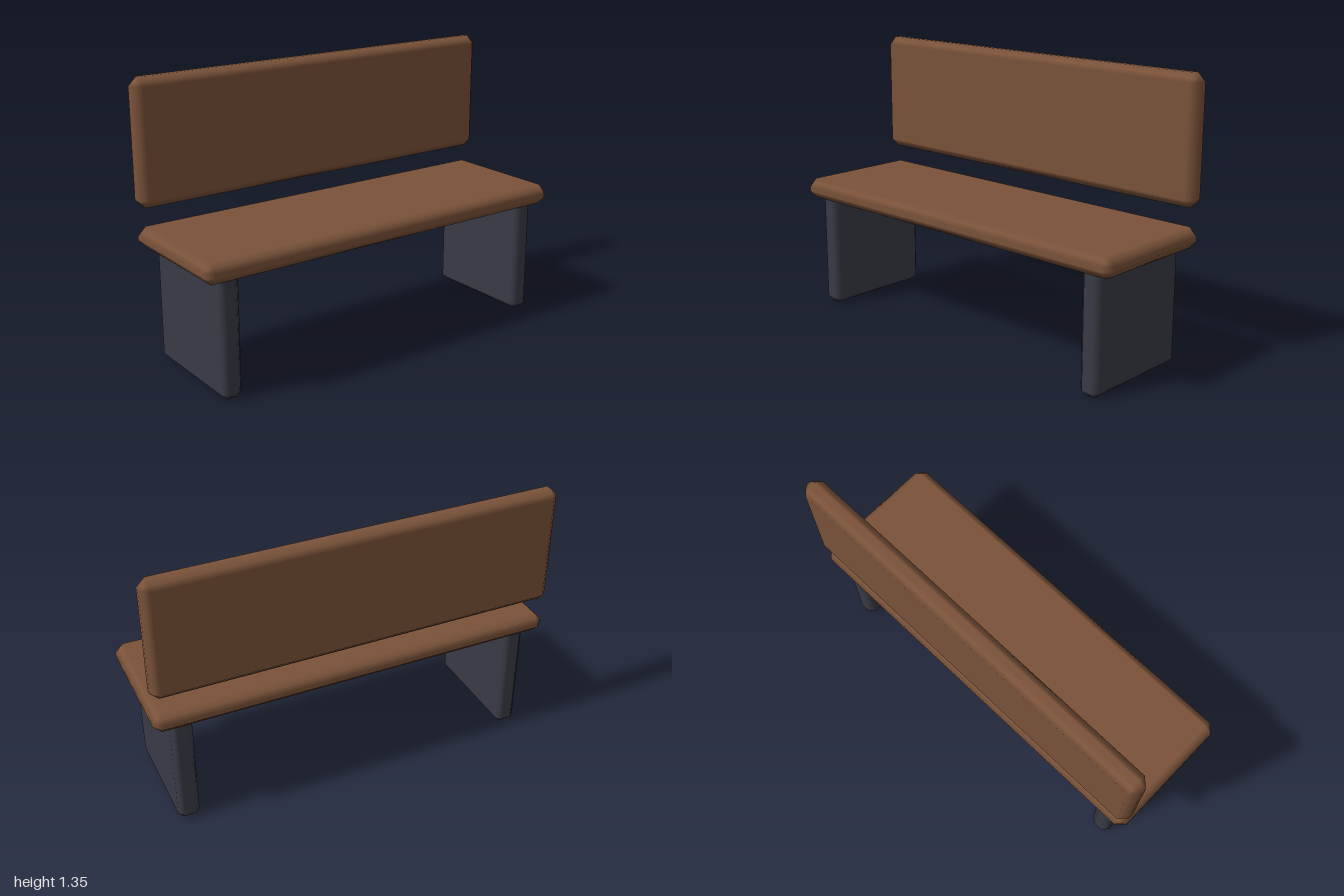
import * as THREE from 'three';

// Box between two corners with 45 degree chamfers, smooth shaded across the chamfers only
function chamferBox(min, max, c) {
  const geo = new THREE.BoxGeometry(1, 1, 1, 3, 3, 3);
  const pos = geo.attributes.position, nor = geo.attributes.normal;
  const v = new THREE.Vector3(), n = new THREE.Vector3();
  for (let i = 0; i < pos.count; i++) {
    v.fromBufferAttribute(pos, i);
    const p = v.toArray();
    const outer = p.map((a) => Math.abs(a) > 0.4);
    const count = outer.filter(Boolean).length;
    // Face, edge and corner points all lie on the flat chamfer planes
    const inset = [0, 0, c / 2, (2 * c) / 3][count];
    const q = p.map((a, k) => {
      const d = (max[k] - min[k]) / 2 - (outer[k] ? inset : c);
      return (min[k] + max[k]) / 2 + Math.sign(a) * d;
    });
    n.fromArray(p.map((a, k) => (outer[k] ? Math.sign(a) : 0))).normalize();
    pos.setXYZ(i, ...q);
    nor.setXYZ(i, n.x, n.y, n.z);
  }
  return geo;
}

export function createModel() {
  const wood = new THREE.MeshStandardMaterial({ color: 0x7a5239 });
  wood.name = 'brown wood';
  const metal = new THREE.MeshStandardMaterial({ color: 0x3a3a46 });
  metal.name = 'dark slate';

  const bench = new THREE.Group();
  bench.name = 'bench';
  const add = (name, material, min, max, c) => {
    const mesh = new THREE.Mesh(chamferBox(min, max, c), material);
    mesh.name = name;
    bench.add(mesh);
  };

  // Seat plank and floating backrest
  add('seat', wood, [-1, 0.56, -0.33], [1, 0.66, 0.34], 0.04);
  add('backrest', wood, [-1, 0.75, -0.34], [1, 1.35, -0.235], 0.04);

  // Slab legs, their tops sunk into the seat
  add('leftLeg', metal, [0.813, 0, -0.285], [0.918, 0.6, 0.3], 0.028);
  add('rightLeg', metal, [-0.918, 0, -0.285], [-0.813, 0.6, 0.3], 0.028);

  return bench;
}
